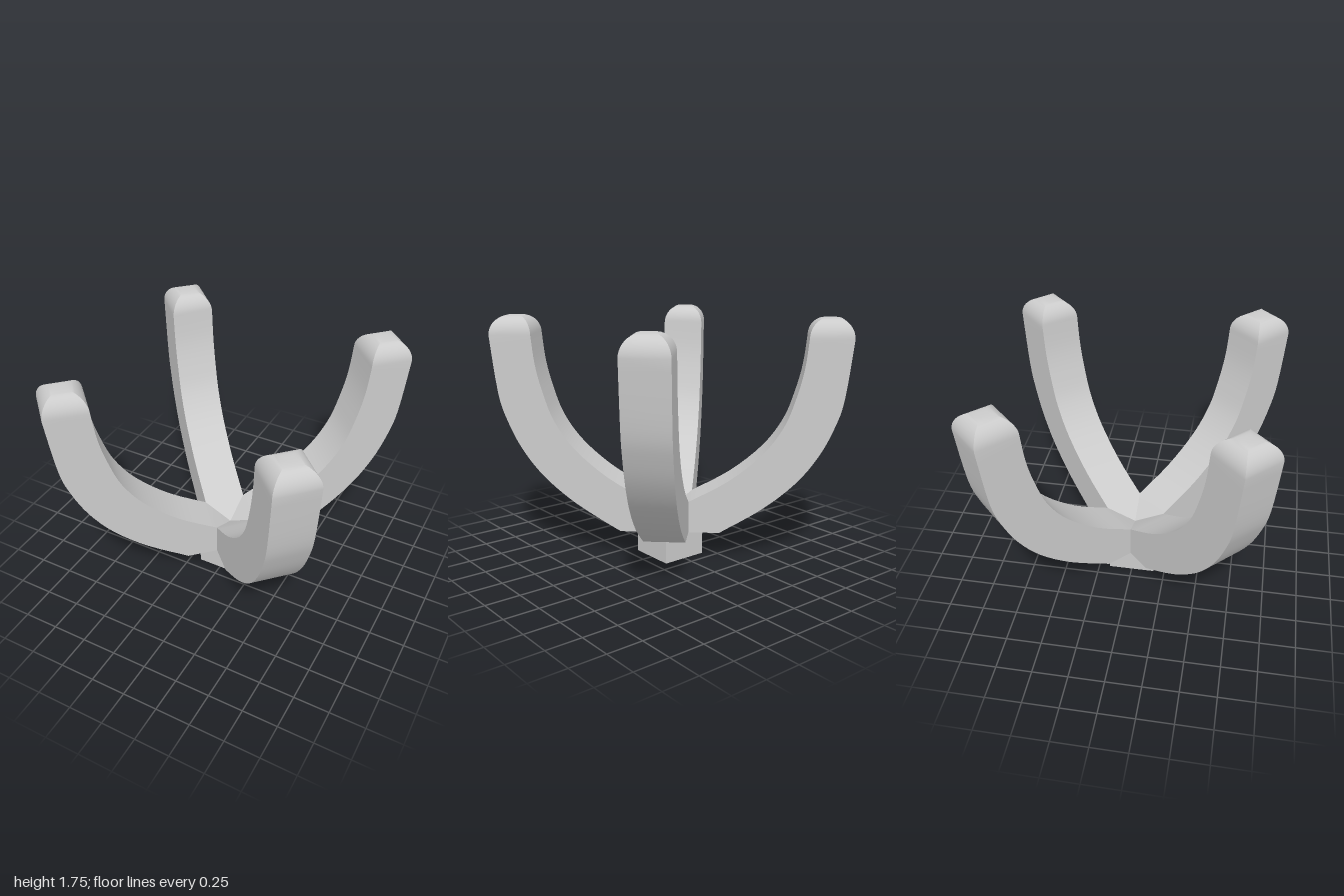
import * as THREE from 'three';
import { toCreasedNormals } from 'three/addons/utils/BufferGeometryUtils.js';

const HALF = 0.15; // half the arm's square section
const curve = (pts) => new THREE.SplineCurve(pts.map(([r, y]) => new THREE.Vector2(r, y)));

// Arm profile as radius from the centre and height
const inner = curve([[0.15, 0.44], [0.43, 0.6], [0.665, 0.8], [0.808, 1.0], [0.884, 1.2], [0.935, 1.4], [0.96, 1.61]]);
const outer = curve([[0.357, 0.207], [0.667, 0.4], [0.9, 0.6], [1.052, 0.8], [1.15, 1.0], [1.21, 1.2], [1.26, 1.61]]);

// Square sections from the hub to the rounded tip
function armRings() {
  const ring = (i, o, h = HALF, tilt = 0) => [
    [i.x, -h, i.y],
    [o.x + tilt * 2 * h, -h, o.y + tilt * h],
    [o.x - tilt * 2 * h, h, o.y - tilt * h],
    [i.x, h, i.y],
  ];
  const rings = [ring({ x: 0, y: 0.34 }, { x: 0, y: 0.207 }, HALF, 0)];
  const steps = 24;
  for (let k = 0; k <= steps; k++) {
    rings.push(ring(inner.getPoint(k / steps), outer.getPoint(k / steps), HALF, k === 0 ? 0.05 : 0));
  }
  for (let k = 1; k <= 10; k++) {
    const a = (k / 10) * Math.PI / 2;
    const s = 0.03 + 0.12 * Math.cos(a);
    const y = 1.61 + 0.135 * Math.sin(a);
    rings.push(ring({ x: 1.11 - s, y }, { x: 1.11 + s, y }, s));
  }
  return rings;
}

// Skin the sections along one diagonal; sx and sz choose the quadrant
function armGeometry(sx, sz) {
  const rings = armRings();
  const pos = [];
  const put = ([r, t, y]) => pos.push(sx * (r + t) * Math.SQRT1_2, y, sz * (r - t) * Math.SQRT1_2);
  const tri = (a, b, c) => (sx * sz > 0 ? [a, b, c] : [a, c, b]).forEach(put);
  const quad = (a, b, c, d) => { tri(a, b, c); tri(a, c, d); };
  for (let k = 0; k < rings.length - 1; k++) {
    const lo = rings[k], hi = rings[k + 1];
    for (let i = 0; i < 4; i++) {
      const j = (i + 1) % 4;
      quad(lo[i], lo[j], hi[j], hi[i]);
    }
  }
  const first = rings[0], last = rings[rings.length - 1];
  quad(first[3], first[2], first[1], first[0]);
  quad(last[0], last[1], last[2], last[3]);
  const geo = new THREE.BufferGeometry();
  geo.setAttribute('position', new THREE.Float32BufferAttribute(pos, 3));
  return toCreasedNormals(geo, 0.6);
}

export function createModel() {
  const model = new THREE.Group();
  const material = new THREE.MeshStandardMaterial({ color: 0xcccccc });

  // Square foot under the hub
  const base = new THREE.Mesh(new THREE.BoxGeometry(0.34, 0.25, 0.34), material);
  base.name = 'base';
  base.position.y = 0.125;
  model.add(base);

  // Four curved arms on the diagonals
  for (const [sx, sz, name] of [[1, 1, 'frontLeftArm'], [-1, 1, 'frontRightArm'], [1, -1, 'backLeftArm'], [-1, -1, 'backRightArm']]) {
    const arm = new THREE.Mesh(armGeometry(sx, sz), material);
    arm.name = name;
    model.add(arm);
  }
  return model;
}
